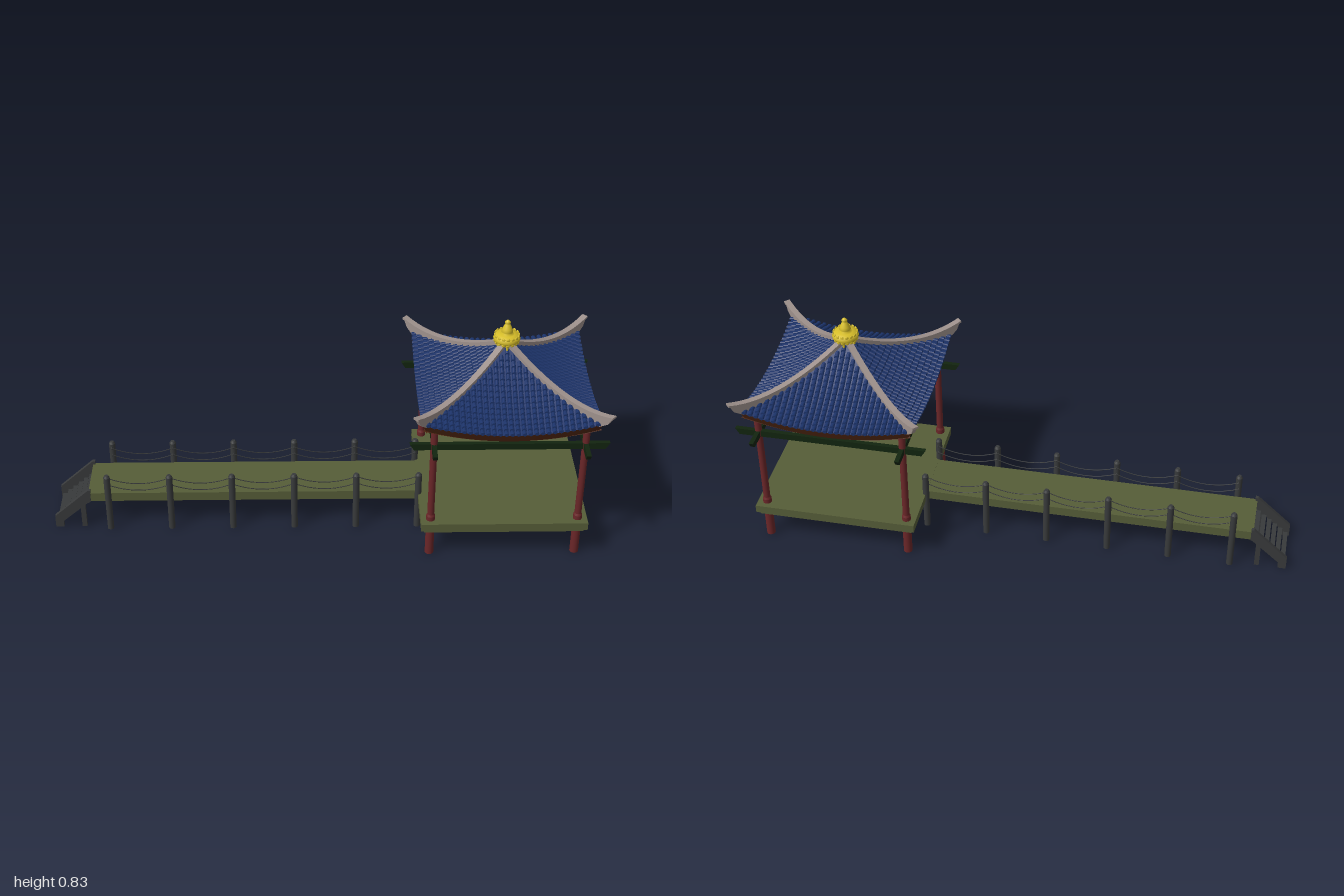
import * as THREE from 'three';
import { mergeGeometries } from 'three/addons/utils/BufferGeometryUtils.js';

const mat = (color, extra = {}) => Object.assign(new THREE.MeshStandardMaterial({ color }), extra);
const twoSided = { side: THREE.DoubleSide };
const M = {
  deck: mat(0x565d38), post: mat(0x383a3b), column: mat(0x6a2628), beam: mat(0x12240f),
  tile: mat(0x1b3268, { ...twoSided, flatShading: true }), wood: mat(0x4d2410, twoSided),
  ridge: mat(0x9d908b), gold: mat(0xd8bf2a, twoSided),
};

function add(parent, name, geometry, material, x = 0, y = 0, z = 0) {
  const mesh = new THREE.Mesh(geometry, material);
  mesh.name = name;
  mesh.position.set(x, y, z);
  parent.add(mesh);
  return mesh;
}
const box = (w, h, d) => new THREE.BoxGeometry(w, h, d);

// Flat outline extruded to a width centred on z = 0
function slab(points, width) {
  const shape = new THREE.Shape(points.map(([x, y]) => new THREE.Vector2(x, y)));
  return new THREE.ExtrudeGeometry(shape, { depth: width, bevelEnabled: false }).translate(0, 0, -width / 2);
}

// Surface through (nu + 1) x (nv + 1) points given by f(i, j)
function grid(nu, nv, f) {
  const pos = [], index = [];
  for (let i = 0; i <= nu; i++) for (let j = 0; j <= nv; j++) pos.push(...f(i, j));
  for (let i = 0; i < nu; i++) for (let j = 0; j < nv; j++) {
    const a = i * (nv + 1) + j, b = a + nv + 1;
    index.push(a, b, a + 1, b, b + 1, a + 1);
  }
  const g = new THREE.BufferGeometry();
  g.setAttribute('position', new THREE.Float32BufferAttribute(pos, 3));
  g.setIndex(index);
  g.computeVertexNormals();
  return g;
}

// Roof height at distance r from the centre and t along the eave
const EAVE = 0.31;
const roofY = (r, t) => 0.735 - 0.87 * r + 0.83 * r * r + 0.045 * (t / EAVE) ** 2;

// One roof face, looking towards +z
function roofFace() {
  const face = new THREE.Group();
  face.name = 'roofFace';
  const sheet = (drop) => grid(14, 20, (i, j) => {
    const r = EAVE * i / 14, t = r * (j / 10 - 1);
    return [t, roofY(r, t) - drop, r * (1 - drop * 1.2)];
  });
  add(face, 'roofDeck', sheet(0), M.tile);
  add(face, 'soffit', sheet(0.031), M.wood);
  add(face, 'eaveBoard', grid(1, 24, (i, j) => {
    const t = EAVE * (j / 12 - 1), s = 1 - 0.037 * i;
    return [t * s, roofY(EAVE, t) - 0.031 * i, EAVE * s];
  }), M.wood);

  // Ribs of overlapping round tiles, stepped at each row
  const ribs = [], row = 0.0195, end = 0.314;
  for (let c = -14; c <= 14; c++) {
    const t = c * 0.0208, stations = [];
    const rows = Math.max(1, Math.floor((end - Math.abs(t) - 0.004) / row));
    for (let k = rows; k > 0; k--) {
      stations.push([end - k * row, 0.007, 0], [end - (k - 1) * row, 0.0085, 0.0045]);
    }
    stations.push([end, 0, 0]);
    ribs.push(grid(stations.length - 1, 6, (i, j) => {
      const [r, radius, lift] = stations[i], a = Math.PI * (j / 6 - 0.5);
      return [t + radius * Math.sin(a), roofY(r, t) + lift + radius * Math.cos(a), r];
    }));
  }
  add(face, 'roofTiles', mergeGeometries(ribs), M.tile);
  return face;
}

// Hip ridge running along +x, sweeping up at its tip
function hipRidge() {
  const ridge = new THREE.Group();
  ridge.name = 'hipRidge';
  const top = (a) => roofY(a, a) + 0.014 + 0.036 * (a / 0.338) ** 4;
  const upper = [], under = [], lower = [];
  for (let i = 0; i <= 16; i++) {
    const a = 0.338 * i / 16, b = 0.302 * i / 16;
    upper.push([a * Math.SQRT2, top(a)]);
    under.unshift([a * Math.SQRT2, top(a) - 0.008]);
    lower.unshift([b * Math.SQRT2, roofY(b, b) - 0.012]);
  }
  const tip = [[0.325 * Math.SQRT2, 0.603]];
  add(ridge, 'ridgeBody', slab([...upper, ...tip, ...lower], 0.016), M.ridge);
  add(ridge, 'ridgeCap', slab([...upper, ...under], 0.023), M.ridge);
  return ridge;
}

function finial() {
  const g = new THREE.Group();
  g.name = 'finial';
  const profile = [[0, 0.728], [0.02, 0.735], [0.044, 0.742], [0.048, 0.752], [0.044, 0.765], [0.026, 0.768],
    [0.016, 0.773], [0.021, 0.779], [0.017, 0.79], [0.01, 0.807], [0.006, 0.811], [0.011, 0.815],
    [0.007, 0.82], [0, 0.826]];
  add(g, 'spire', new THREE.LatheGeometry(profile.map(([x, y]) => new THREE.Vector2(x, y)), 28), M.gold);
  // Crown petals above and below the rim
  const petals = [];
  for (let i = 0; i < 16; i++) {
    for (const y of [0.742, 0.765]) {
      petals.push(new THREE.SphereGeometry(0.007, 8, 6).scale(0.45, 0.9, 1)
        .translate(0.043, y, 0).rotateY(i * Math.PI / 8));
    }
  }
  add(g, 'crownPetals', mergeGeometries(petals), M.gold);
  // Pendants hanging over each roof face
  for (let i = 0; i < 4; i++) {
    const pendant = new THREE.CylinderGeometry(0.007, 0.004, 0.028, 8).translate(0, 0.729, 0.03);
    add(g, 'pendant', pendant.rotateY(i * Math.PI / 2), M.gold);
  }
  return g;
}

function pavilion() {
  const g = new THREE.Group();
  g.name = 'pavilion';
  add(g, 'platform', box(0.6, 0.03, 0.6), M.deck, 0, 0.136, 0);
  add(g, 'platformBase', box(0.576, 0.015, 0.576), M.deck, 0, 0.114, 0);
  const beam = slab([[-0.335, 0.461], [0.335, 0.461], [0.35, 0.485], [-0.35, 0.485]], 0.016);
  for (const s of [-1, 1]) {
    add(g, 'crossBeam', beam, M.beam, 0, 0, s * 0.265);
    add(g, 'sideBeam', beam, M.beam, s * 0.265, 0, 0).rotation.y = Math.PI / 2;
    for (const q of [-1, 1]) {
      add(g, 'column', new THREE.CylinderGeometry(0.0125, 0.0125, 0.575, 20), M.column, s * 0.265, 0.2875, q * 0.265);
      add(g, 'columnFoot', new THREE.CylinderGeometry(0.016, 0.016, 0.168, 20), M.column, s * 0.265, 0.084, q * 0.265);
      add(g, 'columnCollar', new THREE.CylinderGeometry(0.0125, 0.016, 0.008, 20), M.column, s * 0.265, 0.172, q * 0.265);
    }
  }
  for (let i = 0; i < 4; i++) {
    const face = roofFace(), ridge = hipRidge();
    face.rotation.y = i * Math.PI / 2;
    ridge.rotation.y = (i + 0.5) * Math.PI / 2;
    g.add(face, ridge);
  }
  g.add(finial());
  return g;
}

function walkway() {
  const g = new THREE.Group();
  g.name = 'walkway';
  add(g, 'walkwayDeck', box(1.22, 0.026, 0.19), M.deck, -0.26, 0.137, 0);
  add(g, 'walkwayBase', box(1.21, 0.016, 0.176), M.deck, -0.26, 0.117, 0);
  const first = -0.795, step = 0.228;
  for (const s of [-1, 1]) {
    for (let i = 0; i < 6; i++) {
      const x = first + i * step;
      add(g, 'railPost', new THREE.CylinderGeometry(0.012, 0.012, 0.232, 16), M.post, x, 0.116, s * 0.108);
      add(g, 'postCap', new THREE.CylinderGeometry(0.007, 0.012, 0.008, 16), M.post, x, 0.236, s * 0.108);
      // Two sagging ropes between neighbouring posts, held by rings
      for (const y of [0.217, 0.187]) {
        add(g, 'ropeRing', new THREE.TorusGeometry(0.004, 0.0015, 6, 12), M.post, x, y, s * 0.094).rotation.y = Math.PI / 2;
        if (i === 5) continue;
        const points = [];
        for (let k = 0; k <= 8; k++) {
          points.push(new THREE.Vector3(x + step * k / 8, y - 0.1 * (k / 8) * (1 - k / 8), s * 0.094));
        }
        add(g, 'rope', new THREE.TubeGeometry(new THREE.CatmullRomCurve3(points), 16, 0.0016, 5), M.post);
      }
    }
  }
  return g;
}

function stairs() {
  const g = new THREE.Group();
  g.name = 'stairs';
  const stringer = slab([[-1, 0], [-0.97, 0], [-0.97, 0.025], [-0.872, 0.11], [-0.862, 0.115],
    [-0.862, 0.163], [-0.872, 0.163], [-1, 0.048]], 0.014);
  for (const s of [-1, 1]) {
    add(g, 'stringer', stringer, M.post, 0, 0, s * 0.092);
    add(g, 'stairLeg', box(0.018, 0.12, 0.014), M.post, -0.893, 0.06, s * 0.092);
  }
  for (let i = 0; i < 6; i++) {
    add(g, 'tread', box(0.017, 0.004, 0.18), M.post, -0.986 + i * 0.0215, 0.015 + i * 0.0178, 0);
  }
  return g;
}

export function createModel() {
  const model = new THREE.Group();
  model.name = 'pavilionWithWalkway';
  const house = pavilion();
  house.position.x = 0.645;
  model.add(house, walkway(), stairs());
  return model;
}
